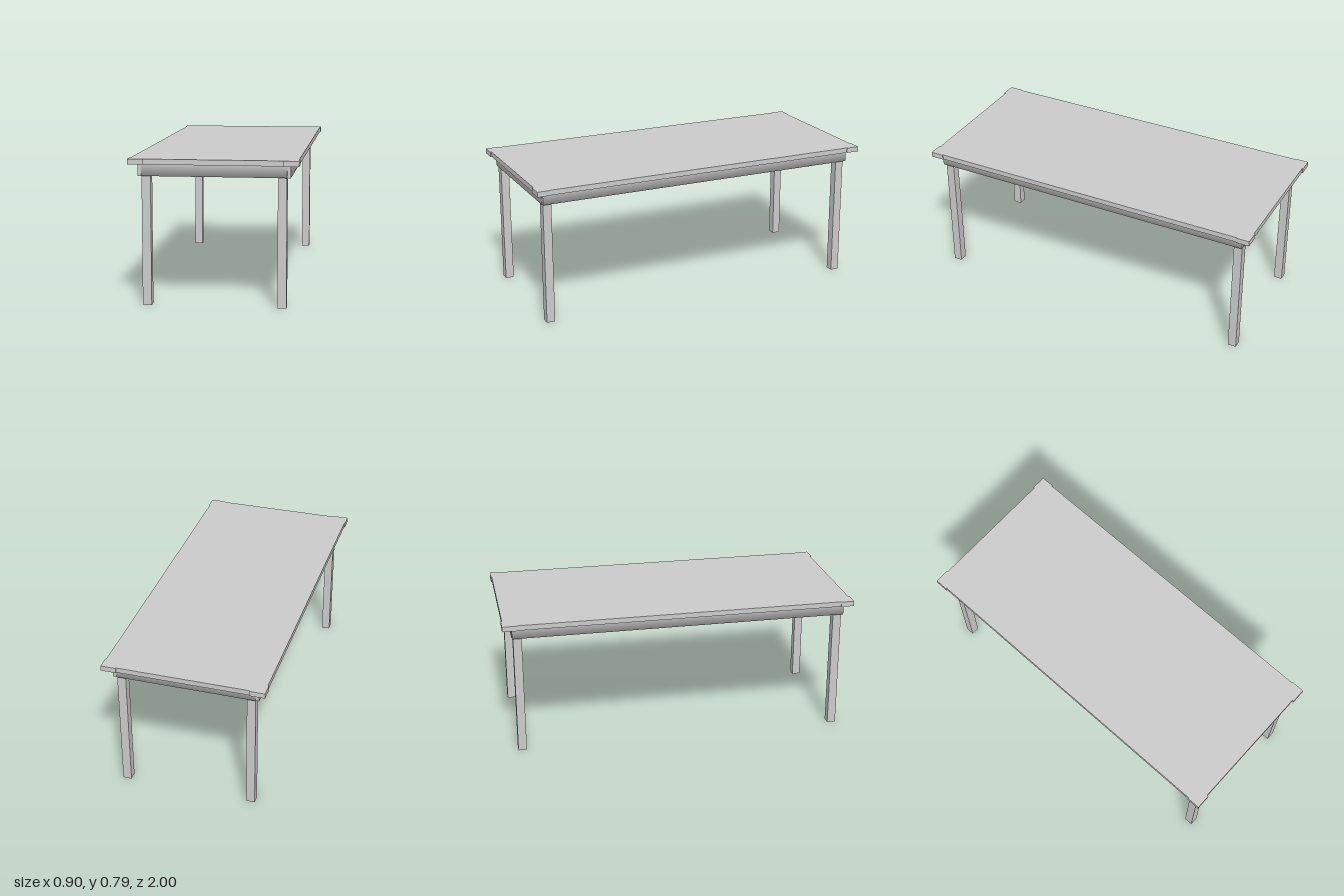
import * as THREE from 'three';

const material = new THREE.MeshStandardMaterial({ color: 0xcccccc });

// Box given by its limits on each axis
function block(name, [x0, x1], [y0, y1], [z0, z1]) {
  const geometry = new THREE.BoxGeometry(x1 - x0, y1 - y0, z1 - z0);
  const mesh = new THREE.Mesh(geometry, material);
  mesh.name = name;
  mesh.position.set((x0 + x1) / 2, (y0 + y1) / 2, (z0 + z1) / 2);
  return mesh;
}

// Blend the normals across the lower long edges of a rail
function softenLowerEdges(mesh, axis) {
  const { position, normal } = mesh.geometry.attributes;
  const n = new THREE.Vector3();
  for (let i = 0; i < position.count; i++) {
    n.fromBufferAttribute(normal, i);
    const isEnd = Math.abs(n[axis === 'x' ? 'z' : 'x']) > 0.5;
    if (position.getY(i) > 0 || isEnd) continue;
    n.set(0, -1, 0);
    n[axis] = Math.sign(position[axis === 'x' ? 'getX' : 'getZ'](i));
    n.normalize();
    normal.setXYZ(i, n.x, n.y, n.z);
  }
  return mesh;
}

// Order two limits after mirroring by s
const span = (s, a, b) => (s > 0 ? [a, b] : [-b, -a]);

export function createModel() {
  const table = new THREE.Group();
  table.name = 'table';

  const topY = [0.759, 0.788];
  const railY = [0.694, 0.759];
  const frameShift = 0.005; // the frame sits slightly towards the front

  // Table top
  table.add(block('tableTop', [-0.445, 0.445], topY, [-0.994, 0.992]));

  // Underframe: rails and legs
  const frame = new THREE.Group();
  frame.name = 'underframe';
  frame.position.z = frameShift;
  table.add(frame);

  for (const s of [1, -1]) {
    frame.add(softenLowerEdges(
      block('sideRail', span(s, 0.385, 0.404), railY, [-0.95, 0.95]), 'x'));
    frame.add(softenLowerEdges(
      block('endRail', [-0.385, 0.385], railY, span(s, 0.934, 0.952)), 'z'));

    for (const t of [1, -1]) {
      // Legs stand inside the rails and reach the underside of the top
      frame.add(block('leg', span(s, 0.336, 0.384), [0, 0.759], span(t, 0.896, 0.944)));

      // Thin L-shaped corner caps around the edge of the top
      const cap = new THREE.Group();
      cap.name = 'cornerCap';
      const inner = t > 0 ? 0.992 : 0.994;
      cap.add(block('capSide', span(s, 0.445, 0.45), topY, span(t, 0.925, 1)));
      cap.add(block('capEnd', span(s, 0.366, 0.445), topY, span(t, inner, 1)));
      table.add(cap);
    }
  }
  return table;
}
